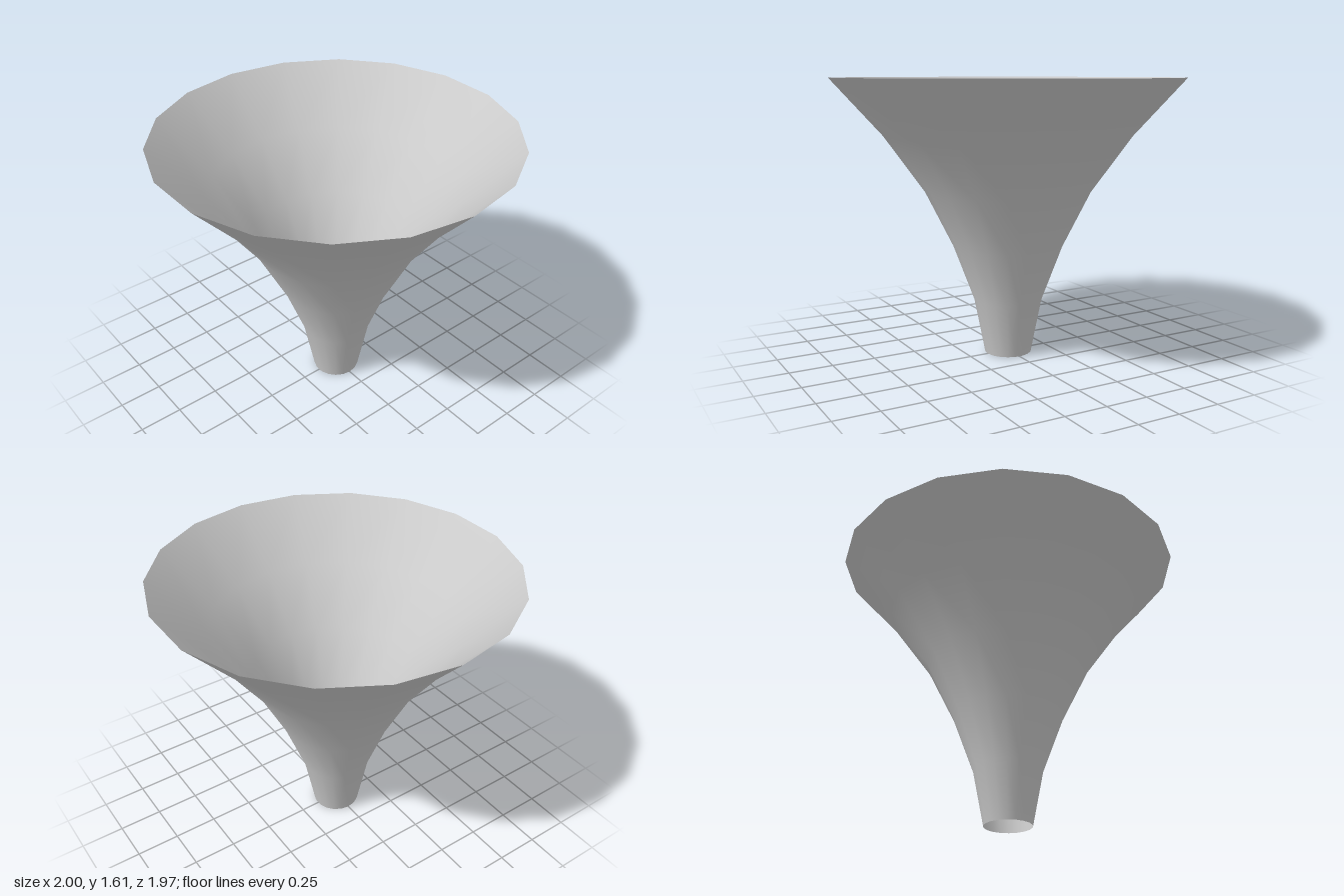
import * as THREE from 'three';

export function createModel() {
  const group = new THREE.Group();

  // Thin open funnel: radii at equal height steps from spout to rim
  const height = 1.61;
  const radii = [0.137, 0.2, 0.32, 0.48, 0.71, 1];
  const profile = radii.map((r, i) => new THREE.Vector2(r, (height * i) / (radii.length - 1)));

  // 18 sides, with a corner on the x axis
  const funnel = new THREE.Mesh(
    new THREE.LatheGeometry(profile, 18, Math.PI / 2),
    new THREE.MeshStandardMaterial({ color: 0xcccccc, side: THREE.DoubleSide })
  );
  funnel.name = 'flaredFunnel';
  group.add(funnel);

  return group;
}
